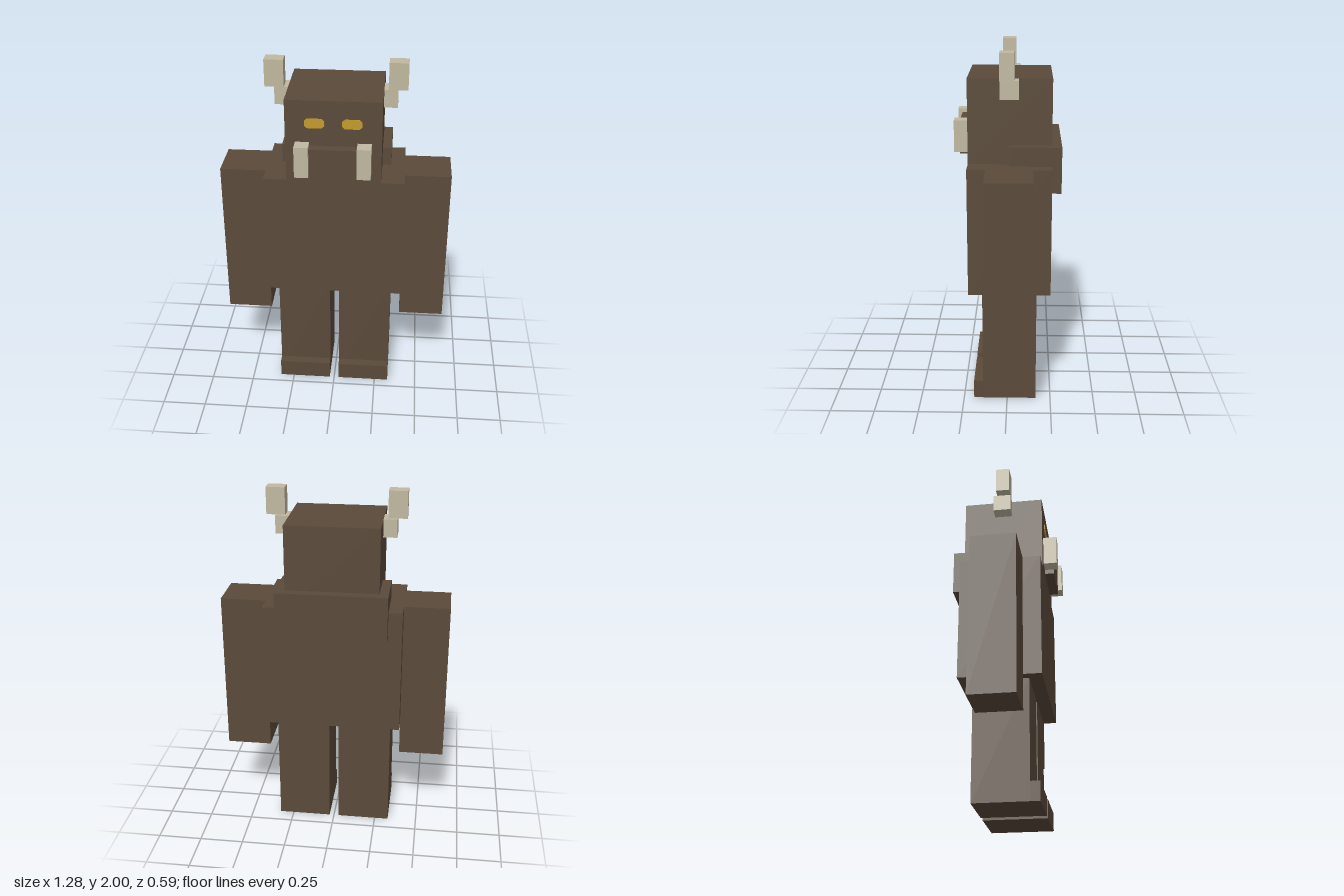
import * as THREE from 'three';

const mat = (name, color) => {
  const m = new THREE.MeshStandardMaterial({ color });
  m.name = name;
  return m;
};

export function createModel() {
  const hide = mat('brown hide', 0x5a4a3a);
  const ivory = mat('ivory', 0xc0b8a0);
  const amber = mat('amber', 0xc49a2c);
  const model = new THREE.Group();
  model.name = 'hornedGolem';

  // Box given by its extents along each axis
  const box = (name, material, [x0, x1], [y0, y1], [z0, z1]) => {
    const mesh = new THREE.Mesh(new THREE.BoxGeometry(x1 - x0, y1 - y0, z1 - z0), material);
    mesh.position.set((x0 + x1) / 2, (y0 + y1) / 2, (z0 + z1) / 2);
    mesh.name = name;
    model.add(mesh);
  };

  // The same box on both sides
  const pair = (name, material, [x0, x1], y, z) => {
    box('left' + name, material, [x0, x1], y, z);
    box('right' + name, material, [-x1, -x0], y, z);
  };

  // Body
  box('torso', hide, [-0.385, 0.385], [0.67, 1.385], [-0.242, 0.215]);
  box('head', hide, [-0.257, 0.257], [1.385, 1.85], [-0.242, 0.215]);
  box('collar', hide, [-0.307, 0.307], [1.235, 1.49], [-0.295, -0.012]);
  box('snout', hide, [-0.13, 0.13], [1.413, 1.595], [0.2, 0.267]);

  // Limbs
  pair('Arm', hide, [0.385, 0.64], [0.465, 1.385], [-0.14, 0.114]);
  pair('Leg', hide, [0.027, 0.33], [0, 0.67], [-0.165, 0.14]);
  pair('Toe', hide, [0.027, 0.33], [0, 0.105], [0.14, 0.192]);

  // Tusks and stepped horns
  pair('Tusk', ivory, [0.128, 0.204], [1.44, 1.615], [0.215, 0.292]);
  pair('HornBase', ivory, [0.257, 0.332], [1.75, 1.85], [-0.063, 0.038]);
  pair('HornTip', ivory, [0.28, 0.384], [1.85, 2], [-0.04, 0.038]);

  // Eyes: thin plates with clipped corners
  const w = 0.053, h = 0.027, c = 0.014;
  const outline = [[w - c, -h], [w, -h + c], [w, h - c], [w - c, h],
    [-w + c, h], [-w, h - c], [-w, -h + c], [-w + c, -h]];
  const eye = new THREE.ExtrudeGeometry(
    new THREE.Shape(outline.map(([x, y]) => new THREE.Vector2(x, y))),
    { depth: 0.004, bevelEnabled: false });
  for (const [name, side] of [['leftEye', 1], ['rightEye', -1]]) {
    const mesh = new THREE.Mesh(eye, amber);
    mesh.name = name;
    mesh.position.set(side * 0.1, 1.723, 0.215);
    model.add(mesh);
  }

  return model;
}
